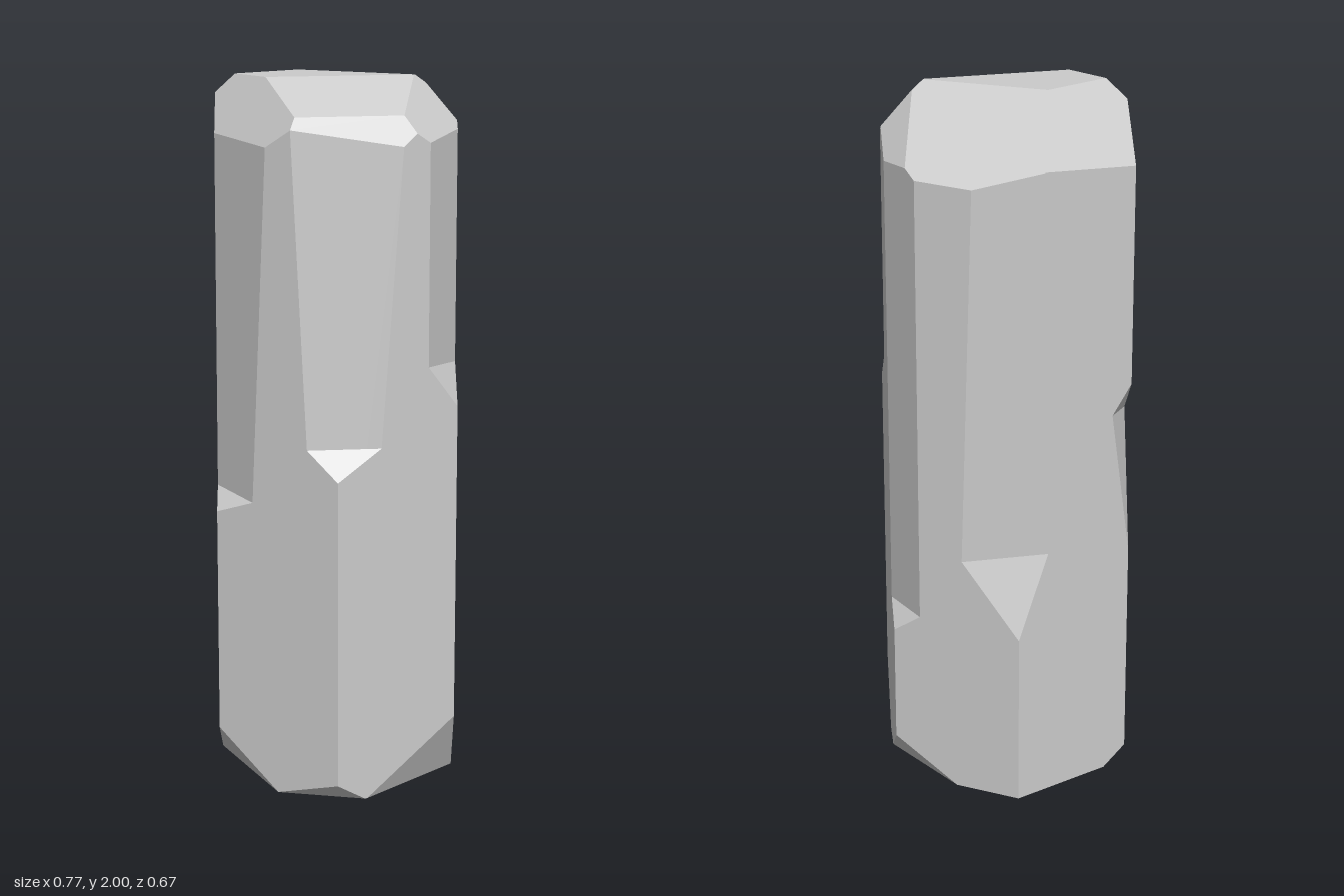
import * as THREE from 'three';

const RADIUS = 0.387;
const V = (x, y, z) => new THREE.Vector3(x, y, z);

// Point on the hexagon outline: whole numbers are corners, fractions lie along a side
function rim(t, y) {
  const i = Math.floor(t), f = t - i;
  const corner = k => V(Math.cos(k * Math.PI / 3) * RADIUS, y, Math.sin(k * Math.PI / 3) * RADIUS);
  return corner(i).lerp(corner(i + 1), f);
}

// Plane through three points, facing away from a point that stays inside
function cut(a, b, c, inside = V(0, 1, 0)) {
  const plane = new THREE.Plane().setFromCoplanarPoints(a, b, c);
  return plane.distanceToPoint(inside) > 0 ? plane.negate() : plane;
}

// Closed flat-faced solid bounded by a set of planes
function solid(planes) {
  const points = [];
  const n = planes.length, cross = V(0, 0, 0);
  for (let i = 0; i < n; i++) for (let j = i + 1; j < n; j++) for (let k = j + 1; k < n; k++) {
    const [a, b, c] = [planes[i], planes[j], planes[k]];
    const det = a.normal.dot(cross.crossVectors(b.normal, c.normal));
    if (Math.abs(det) < 1e-6) continue;
    const p = V(0, 0, 0)
      .addScaledVector(V(0, 0, 0).crossVectors(b.normal, c.normal), -a.constant / det)
      .addScaledVector(V(0, 0, 0).crossVectors(c.normal, a.normal), -b.constant / det)
      .addScaledVector(V(0, 0, 0).crossVectors(a.normal, b.normal), -c.constant / det);
    if (planes.every(q => q.distanceToPoint(p) < 1e-5) && !points.some(q => q.distanceTo(p) < 1e-4)) points.push(p);
  }
  const pos = [];
  for (const plane of planes) {
    const face = points.filter(p => Math.abs(plane.distanceToPoint(p)) < 1e-4);
    if (face.length < 3) continue;
    const mid = face.reduce((s, p) => s.add(p), V(0, 0, 0)).divideScalar(face.length);
    const u = face[0].clone().sub(mid).normalize();
    const w = V(0, 0, 0).crossVectors(plane.normal, u);
    const angle = p => Math.atan2(p.clone().sub(mid).dot(w), p.clone().sub(mid).dot(u));
    face.sort((p, q) => angle(p) - angle(q));
    for (let i = 1; i < face.length - 1; i++) {
      for (const p of [face[0], face[i], face[i + 1]]) pos.push(p.x, p.y, p.z);
    }
  }
  const geo = new THREE.BufferGeometry();
  geo.setAttribute('position', new THREE.Float32BufferAttribute(pos, 3));
  geo.computeVertexNormals();
  return geo;
}

export function createModel() {
  const group = new THREE.Group();
  group.name = 'crystalColumn';
  const material = new THREE.MeshStandardMaterial({ color: 0xcccccc, flatShading: true });
  const add = (name, planes) => {
    const mesh = new THREE.Mesh(solid(planes), material);
    mesh.name = name;
    group.add(mesh);
  };

  // Six sides and the flat ends
  const shell = [new THREE.Plane(V(0, 1, 0), -2), new THREE.Plane(V(0, -1, 0), 0)];
  for (let i = 0; i < 6; i++) shell.push(cut(rim(i, 0), rim(i + 1, 0), rim(i, 2)));

  // Slanted facets of the top
  shell.push(
    cut(V(0.205, 2, -0.075), V(0.28, 1.91, 0.125), V(0.05, 1.91, 0.315)),
    cut(V(-0.39, 1.8, 0), V(-0.315, 1.93, 0.13), V(-0.155, 2, -0.06)),
    cut(V(-0.155, 2, -0.06), V(0.22, 1.985, -0.1), V(-0.1, 1.78, -0.335)),
    cut(V(0.11, 1.89, -0.27), V(0.22, 1.98, -0.11), V(0.25, 1.81, -0.24)),
    cut(V(0.22, 1.98, -0.11), V(0.28, 1.91, 0.125), V(0.33, 1.845, 0)),
    cut(V(0.05, 1.91, 0.315), V(0.28, 1.91, 0.125), V(0.06, 1.86, 0.335)),
    cut(V(-0.17, 2, 0.165), V(0.05, 1.91, 0.315), V(-0.26, 1.85, 0.225)),
  );

  // Broken corners of the base: corner, its height, and the two ends on the base outline
  for (const [corner, h, from, to] of [
    [0, 0.19, -0.3, 0.75], [1, 0.055, 0.77, 2 - 0.5], [2, 0.16, 1.5, 2.7],
    [3, 0.05, 2.7, 3.2], [5, 0.12, 4.5, 5.43],
  ]) shell.push(cut(rim(corner, h), rim(from, 0), rim(to, 0)));

  // Long chips along the corners: corner, foot height, both shoulders, a point further up, ceiling
  const chips = [
    { corner: 0, foot: 1.10, a: [-0.34, 1.2], b: [0.25, 1.22], up: [0.25, 1.85] },
    { corner: 1, foot: 0.93, a: [0.64, 1.01], b: [1.25, 1.01], up: [1.38, 1.9] },
    { corner: 2, foot: 0.80, a: [1.7, 0.84], b: [2.22, 0.855], up: [2.31, 1.85] },
    { corner: 3, foot: 0.68, a: [2.7, 1.07], b: [3.17, 1.1], up: [2.7, 2], ceiling: 1.18 },
    { corner: 4, foot: 0.50, a: [3.74, 0.74], b: [4.45, 0.71], up: [4.36, 1.78] },
    { corner: 5, foot: 0.46, a: [4.79, 0.515], b: [5.27, 0.515], up: [4.79, 1.8] },
  ].map(c => ({ ...c, plane: cut(rim(...c.a), rim(...c.b), rim(...c.up)) }));

  add('core', [...shell, ...chips.map(c => c.plane)]);

  // Corner edges that remain below (and above) each chip
  for (const { corner, foot, a, b, plane, ceiling } of chips) {
    const outer = [...shell, plane.clone().negate()];
    add('lowerEdge' + corner, [...outer, cut(rim(corner, foot), rim(...a), rim(...b), rim(corner, 0))]);
    if (ceiling) add('upperEdge' + corner, [...outer, cut(rim(corner, ceiling), rim(...a), rim(...b), rim(corner, 2))]);
  }
  return group;
}
